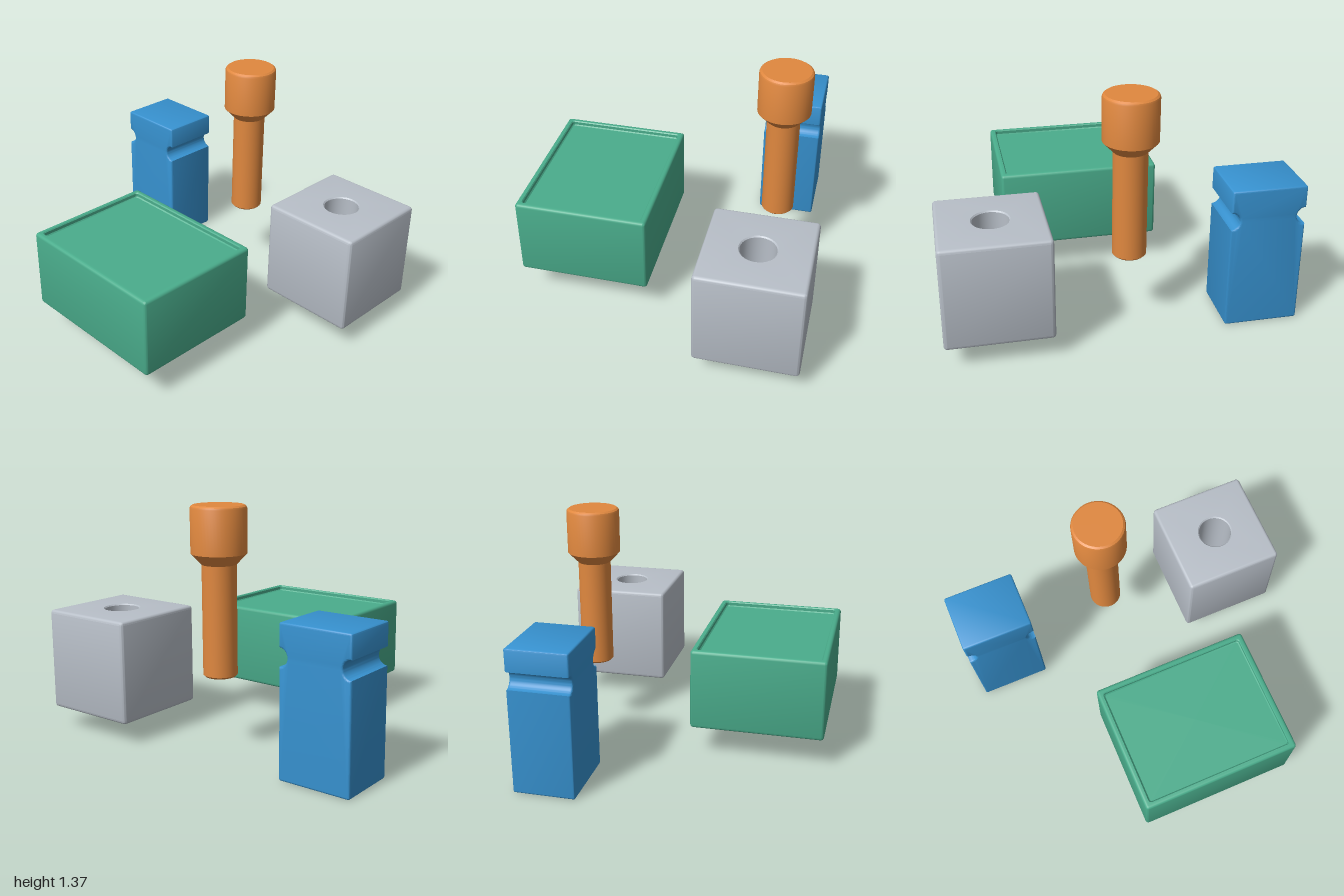
import * as THREE from 'three';
import { toCreasedNormals } from 'three/addons/utils/BufferGeometryUtils.js';

const CREASE = 0.5;

function material(name, color) {
  const m = new THREE.MeshStandardMaterial({ color });
  m.name = name;
  return m;
}

function part(name, geometry, mat, x, y, z) {
  const mesh = new THREE.Mesh(toCreasedNormals(geometry, CREASE), mat);
  mesh.name = name;
  mesh.position.set(x, y, z);
  return mesh;
}

// Level outline: a rectangle with rounded corners (a circle when r is half its size)
function ring(w, d, r, y) {
  const points = [];
  const steps = 8;
  for (let q = 0; q < 4; q++) {
    const cx = (w / 2 - r) * (q === 0 || q === 3 ? 1 : -1);
    const cz = (d / 2 - r) * (q < 2 ? 1 : -1);
    for (let i = 0; i <= steps; i++) {
      const a = (q + i / steps) * Math.PI / 2;
      points.push(new THREE.Vector3(cx + r * Math.cos(a), y, cz + r * Math.sin(a)));
    }
  }
  return points;
}

// Skin between successive outlines, dropping triangles with no area
function skin(rings) {
  const pos = [];
  const tri = new THREE.Triangle();
  const add = (a, b, c) => {
    tri.set(a, b, c);
    if (tri.getArea() > 1e-9) for (const p of [a, b, c]) pos.push(p.x, p.y, p.z);
  };
  for (let k = 0; k < rings.length - 1; k++) {
    const lo = rings[k], hi = rings[k + 1], n = lo.length;
    for (let i = 0; i < n; i++) {
      const j = (i + 1) % n;
      add(lo[i], hi[i], lo[j]);
      add(lo[j], hi[i], hi[j]);
    }
  }
  const g = new THREE.BufferGeometry();
  g.setAttribute('position', new THREE.Float32BufferAttribute(pos, 3));
  return g;
}

// Outlines of a block with rounded edges, from the middle of its base to its top rim
function blockRings(w, h, d, r) {
  const rings = [ring(0, 0, 0, 0)];
  const steps = 4;
  for (const top of [false, true]) {
    for (let i = 0; i <= steps; i++) {
      const a = (top ? steps - i : i) / steps * Math.PI / 2;
      const inset = r * (1 - Math.sin(a));
      const lift = r * (1 - Math.cos(a));
      rings.push(ring(w - 2 * inset, d - 2 * inset, r - inset + 0.001, top ? h - lift : lift));
    }
  }
  return rings;
}

// Cube with a round blind hole in its top
function socketCube() {
  const h = 0.592, r = 0.1, floor = h - 0.4;
  const circle = (radius, y) => ring(radius * 2, radius * 2, radius, y);
  return skin([
    ...blockRings(0.594, h, 0.592, 0.02),
    circle(r + 0.007, h), circle(r, h - 0.007), circle(r, floor), circle(0, floor),
  ]);
}

// Box with a shallow rectangular recess in its top
function trayBox() {
  const w = 0.95, h = 0.475, d = 0.77, floor = h - 0.03;
  return skin([
    ...blockRings(w, h, d, 0.018),
    ring(w - 0.06, d - 0.06, 0.018, h),
    ring(w - 0.07, d - 0.07, 0.016, h - 0.006),
    ring(w - 0.07, d - 0.07, 0.016, floor + 0.006),
    ring(w - 0.082, d - 0.082, 0.012, floor),
    ring(0, 0, 0, floor),
  ]);
}

// Upright block with a round groove across each side
function groovedBlock() {
  const hw = 0.2125, h = 0.835, d = 0.354, b = 0.012;
  const grooveY = 0.655, grooveR = 0.05, q = Math.PI / 2;
  const s = new THREE.Shape();
  s.moveTo(-hw + b, 0);
  s.lineTo(hw - b, 0);
  s.absarc(hw - b, b, b, -q, 0, false);
  s.absarc(hw, grooveY, grooveR, -q, q, true);
  s.absarc(hw - b, h - b, b, 0, q, false);
  s.absarc(-hw + b, h - b, b, q, 2 * q, false);
  s.absarc(-hw, grooveY, grooveR, q, -q, true);
  s.absarc(-hw + b, b, b, 2 * q, 3 * q, false);
  const g = new THREE.ExtrudeGeometry(s, {
    depth: d - 2 * b, curveSegments: 12,
    bevelEnabled: true, bevelSize: b, bevelThickness: b, bevelOffset: -b, bevelSegments: 4,
  });
  return g.translate(0, 0, -(d - 2 * b) / 2);
}

// Round stem flaring into a wider head
function peg() {
  const profile = [
    [0, 0], [0.085, 0], [0.095, 0.01], [0.095, 0.62], [0.153, 0.68],
    [0.153, 0.922], [0.149, 0.932], [0.138, 0.94], [0, 0.94],
  ].map(([x, y]) => new THREE.Vector2(x, y));
  return new THREE.LatheGeometry(profile, 48);
}

export function createModel() {
  const blue = material('blue', 0x3792d0);
  const orange = material('orange', 0xe0883f);
  const grey = material('grey', 0xb8bfc8);
  const green = material('green', 0x4aad8c);

  const model = new THREE.Group();
  model.name = 'partsSet';
  model.add(
    part('groovedBlock', groovedBlock(), blue, -0.7875, 0, -0.565),
    part('peg', peg(), orange, -0.052, 0.43, -0.565),
    part('socketCube', socketCube(), grey, 0.702, 0.125, -0.565),
    part('trayBox', trayBox(), green, 0.105, 0.18, 0.474),
  );
  return model;
}
